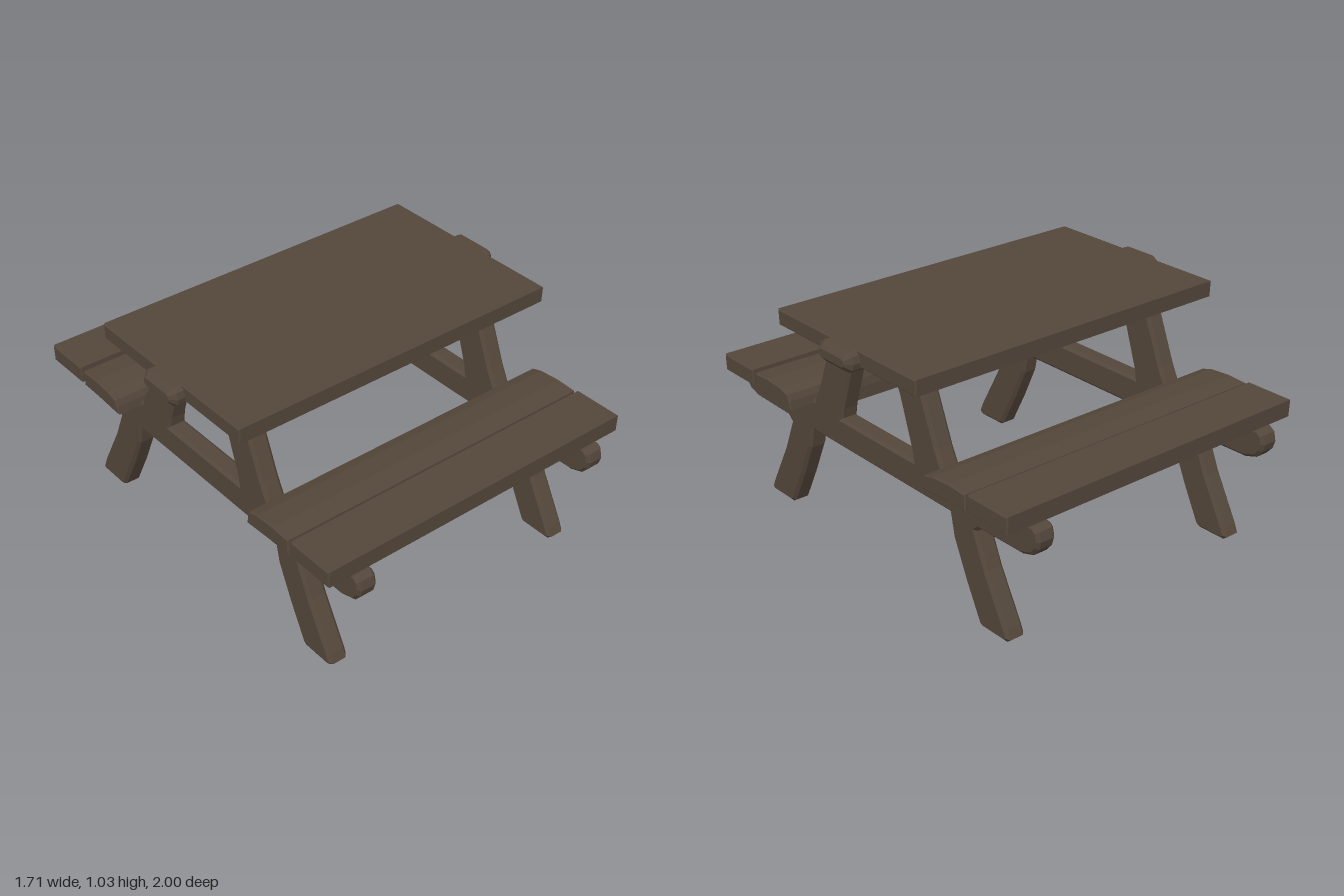
import * as THREE from 'three';

const wood = new THREE.MeshStandardMaterial({ color: 0x54473b });
wood.name = 'dark brown wood';

// Extrudes an outline with chamfered edges, centred on its depth
function slab(points, depth, bevel, hole) {
  const shape = new THREE.Shape(points.map(([a, b]) => new THREE.Vector2(a, b)));
  if (hole) shape.holes.push(new THREE.Path(hole.map(([a, b]) => new THREE.Vector2(a, b))));
  const geo = new THREE.ExtrudeGeometry(shape, {
    depth: depth - 2 * bevel, bevelEnabled: true, bevelThickness: bevel,
    bevelSize: bevel, bevelOffset: -bevel, bevelSegments: 1,
  });
  return geo.translate(0, 0, bevel - depth / 2);
}

// Outline given as (z, y), extruded along x
const sideSlab = (...args) => slab(...args).rotateY(-Math.PI / 2);

// Completes a half outline by reflecting it across the centre line
const mirrored = (half) => [...half, ...half.map(([a, b]) => [-a, b]).reverse()];

export function createModel() {
  const group = new THREE.Group();
  const add = (name, geo, x = 0, y = 0, z = 0) => {
    const mesh = new THREE.Mesh(geo, wood);
    mesh.name = name;
    mesh.position.set(x, y, z);
    group.add(mesh);
    return mesh;
  };

  // Table top
  const top = [[-0.46, 0.967], [0.46, 0.967], [0.463, 1.038], [-0.463, 1.038]];
  add('tableTop', sideSlab(top, 1.59, 0.006));

  // End frames: splayed feet, seat beam and upper trestle in one piece
  const frame = mirrored([
    [0.475, 0.437], [0.495, 0.34], [0.57, 0.175], [0.652, 0.015], [0.67, 0.003],
    [0.81, 0.003], [0.832, 0.02], [0.815, 0.06], [0.70, 0.27], [0.635, 0.42], [0.655, 0.437],
    [0.90, 0.441], [0.96, 0.46], [0.99, 0.495], [1.0, 0.53], [0.99, 0.57], [0.965, 0.588],
    [0.48, 0.582], [0.445, 0.59], [0.40, 0.68], [0.295, 0.94], [0.30, 0.967],
  ]);
  const opening = mirrored([
    [0.245, 0.573], [0.235, 0.62], [0.165, 0.83], [0.145, 0.875], [0.11, 0.895],
  ]);
  for (const s of [-1, 1]) {
    add('endFrame', sideSlab(frame, 0.09, 0.014, opening), s * 0.612);
  }

  // Rounded end grips on the table top
  const grip = mirrored([[0.08, 0.945], [0.105, 0.962], [0.112, 0.99], [0.105, 1.02], [0.08, 1.036]]);
  for (const s of [-1, 1]) {
    add('endGrip', sideSlab(grip, 0.155, 0.028), s * 0.777);
  }

  // Tapered wedges below the table top: wide at the top, a thin edge at the bottom
  for (const s of [-1, 1]) {
    const geo = new THREE.BoxGeometry(1, 1, 1);
    const p = geo.attributes.position;
    for (let i = 0; i < p.count; i++) {
      const low = p.getY(i) < 0;
      const outer = p.getX(i) * s > 0;
      const x = outer ? (low ? 0.378 : 0.395) : (low ? 0.27 : 0.21);
      const y = low ? (outer ? 0.855 : 0.843) : 0.97;
      p.setXYZ(i, s * x, y, p.getZ(i) * (low ? 0.006 : 0.1));
    }
    geo.computeVertexNormals();
    add('underWedge', geo);
  }

  // Benches: two planks and a stretcher on each side
  const innerPlank = [
    [0.452, 0.572], [0.50, 0.574], [0.60, 0.58], [0.715, 0.582],
    [0.715, 0.655], [0.62, 0.66], [0.52, 0.653], [0.47, 0.638], [0.458, 0.61],
  ];
  const outerPlank = [[0.735, 0.587], [0.957, 0.587], [0.96, 0.664], [0.733, 0.664]];
  for (const s of [-1, 1]) {
    const turn = s < 0 ? Math.PI : 0;
    add('innerSeatPlank', sideSlab(innerPlank, 1.54, 0.006)).rotation.y = turn;
    add('outerSeatPlank', sideSlab(outerPlank, 1.545, 0.006)).rotation.y = turn;
    add('stretcher', new THREE.BoxGeometry(1.16, 0.085, 0.07), 0, 0.537, s * 0.52);
  }

  return group;
}
